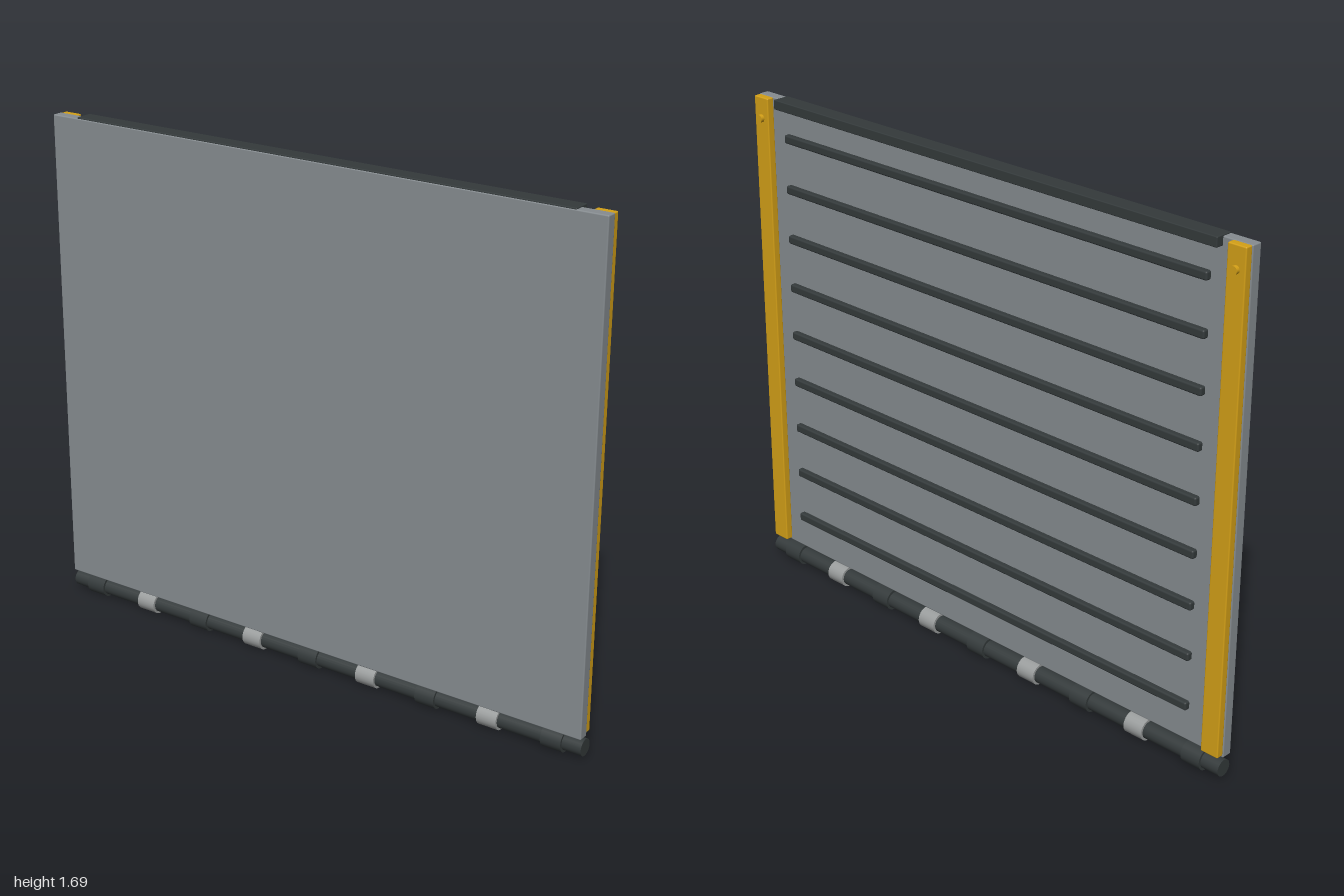
import * as THREE from 'three';
import { RoundedBoxGeometry } from 'three/addons/geometries/RoundedBoxGeometry.js';

const mat = (name, color) => {
  const m = new THREE.MeshStandardMaterial({ color });
  m.name = name;
  return m;
};

export function createModel() {
  const model = new THREE.Group();
  model.name = 'hingedPanel';
  const grey = mat('panelGrey', 0x868c90);
  const dark = mat('darkSteel', 0x343a3b);
  const light = mat('lightSteel', 0x9a9d9d);
  const yellow = mat('safetyYellow', 0xd4a017);

  const add = (name, geo, material, x, y, z) => {
    const mesh = new THREE.Mesh(geo, material);
    mesh.name = name;
    mesh.position.set(x, y, z);
    model.add(mesh);
    return mesh;
  };
  // softened box given by its lower and upper corners
  const box = (name, material, [x0, y0, z0], [x1, y1, z1], r = 0.004) =>
    add(name, new RoundedBoxGeometry(x1 - x0, y1 - y0, z1 - z0, 2, r), material,
      (x0 + x1) / 2, (y0 + y1) / 2, (z0 + z1) / 2);
  const rod = (name, material, radius, length, x) => {
    const geo = new THREE.CylinderGeometry(radius, radius, length, 24).rotateZ(Math.PI / 2);
    return add(name, geo, material, x, 0.036, 0.005);
  };

  // main plate and the lip along its top edge
  box('panel', grey, [-1, 0.073, 0], [1, 1.686, 0.036]);
  box('topLip', dark, [-0.9, 1.658, -0.026], [0.9, 1.69, 0.034], 0.003);

  // stiffening ribs on the back
  for (let i = 0; i < 9; i++) {
    const y = 0.197 + i * 0.171;
    box('rib', dark, [-0.865, y - 0.014, -0.018], [0.865, y + 0.014, 0.006], 0.006);
  }

  // side rails with a bolt near the top
  for (const s of [-1, 1]) {
    const x = s * 0.965;
    box('sideRail', yellow, [x - 0.032, 0.08, -0.024], [x + 0.032, 1.685, 0.002]);
    add('railBolt', new THREE.CylinderGeometry(0.013, 0.013, 0.016, 16).rotateX(Math.PI / 2),
      yellow, x, 1.615, -0.028);
  }

  // hinge tube with alternating collars
  rod('hingeTube', dark, 0.028, 2, 0);
  for (let i = -4; i <= 4; i++) {
    rod('hingeCollar', i % 2 ? light : dark, 0.036, 0.07, i * 0.225);
  }
  return model;
}
